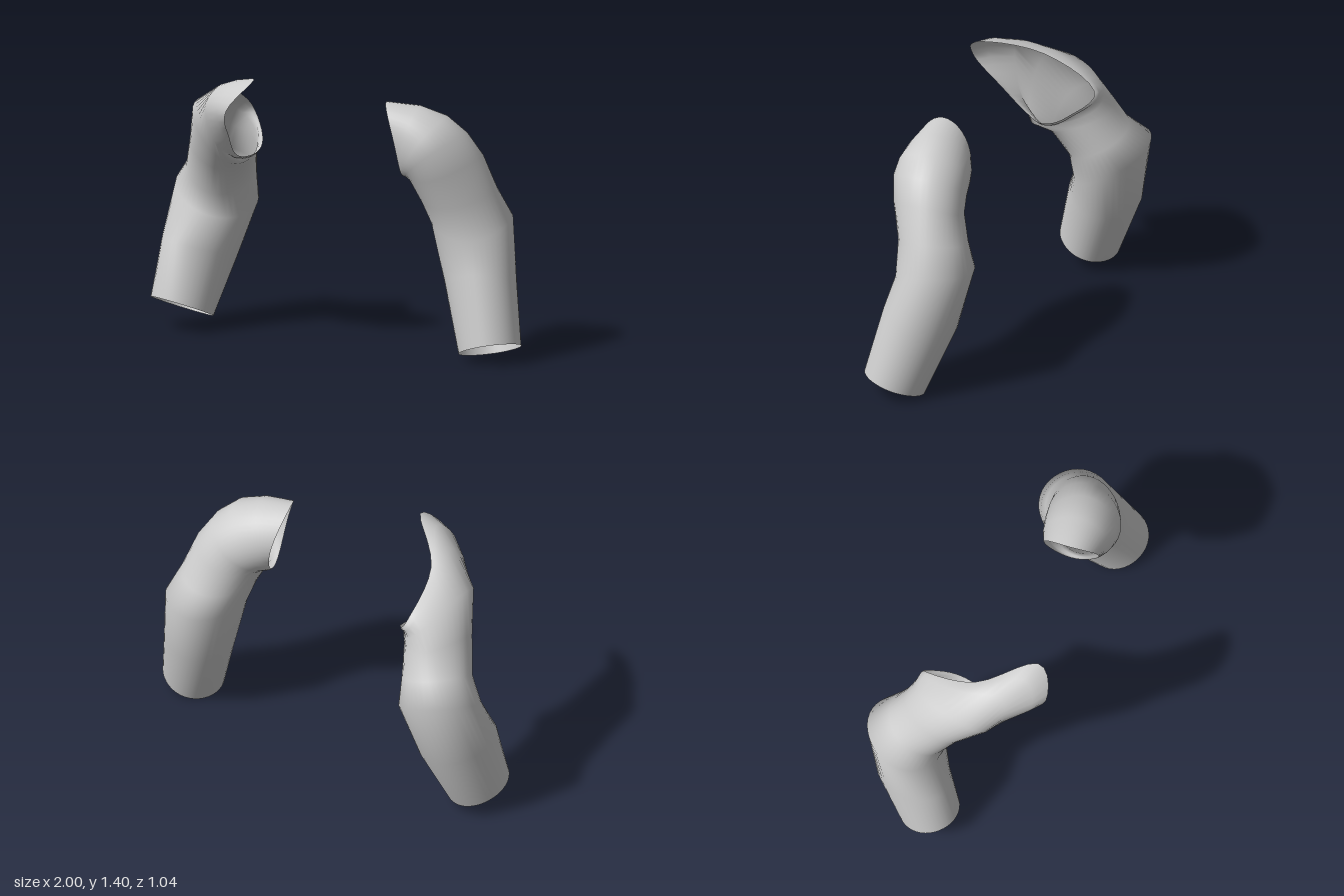
import * as THREE from 'three';

const SEG = 40;

// Closed smooth ring through 4 or 8 control points, starting at the outer side and going to the front
function ringPoints(points) {
  const curve = new THREE.CatmullRomCurve3(
    points.map((p) => new THREE.Vector3(...p)), true, 'catmullrom', points.length === 4 ? 0.8 : 0.55);
  return Array.from({ length: SEG }, (_, j) => curve.getPoint(j / SEG));
}

// Open tube skinned over a list of rings, from cuff to shoulder
function loft(rings, flip) {
  const position = [];
  const index = [];
  rings.forEach((r) => ringPoints(r).forEach((p) => position.push(p.x, p.y, p.z)));
  for (let i = 0; i < rings.length - 1; i++) {
    for (let j = 0; j < SEG; j++) {
      const k = (j + 1) % SEG;
      const a = i * SEG + j, b = i * SEG + k, c = a + SEG, d = b + SEG;
      if (flip) index.push(a, b, c, b, d, c);
      else index.push(a, c, b, b, c, d);
    }
  }
  const g = new THREE.BufferGeometry();
  g.setAttribute('position', new THREE.Float32BufferAttribute(position, 3));
  g.setIndex(index);
  g.computeVertexNormals();
  return g;
}

// Each ring: outer, front, inner, back
const leftRings = [
  [[1.0, 0.09, 0.365], [0.84, 0.11, 0.52], [0.68, 0.03, 0.365], [0.84, 0.01, 0.21]],
  [[0.96, 0.4, 0.27], [0.77, 0.46, 0.435], [0.59, 0.37, 0.25], [0.77, 0.37, 0.06]],
  [[0.925, 0.71, 0.19], [0.72, 0.62, 0.39], [0.51, 0.7, 0.2], [0.73, 0.69, -0.02]],
  [[0.85, 0.86, 0.23], [0.64, 0.79, 0.4], [0.47, 0.81, 0.24], [0.68, 0.82, 0.03]],
  [[0.78, 1.04, 0.25], [0.58, 0.95, 0.445], [0.41, 0.92, 0.26], [0.62, 0.95, 0.07]],
  [[0.7, 1.16, 0.27], [0.52, 1.06, 0.465], [0.39, 0.925, 0.26], [0.56, 1.04, 0.075]],
  [[0.6, 1.245, 0.28], [0.46, 1.1, 0.455], [0.38, 0.925, 0.25], [0.48, 1.1, 0.08]],
  [[0.46, 1.295, 0.28], [0.4, 1.12, 0.43], [0.375, 0.925, 0.25], [0.41, 1.12, 0.09]],
  [[0.29, 1.31, 0.28], [0.35, 1.12, 0.4], [0.37, 0.93, 0.25], [0.35, 1.12, 0.11]],
];

// The last three rings use eight points to shape the pulled-forward shoulder opening
const rightRings = [
  [[-1.0, 0.16, -0.155], [-0.84, 0.165, 0], [-0.68, 0.075, -0.155], [-0.84, 0.07, -0.31]],
  [[-0.95, 0.47, -0.24], [-0.8, 0.45, -0.06], [-0.57, 0.38, -0.26], [-0.77, 0.42, -0.45]],
  [[-0.9, 0.75, -0.33], [-0.7, 0.6, -0.125], [-0.475, 0.64, -0.3], [-0.67, 0.79, -0.52]],
  [[-0.83, 0.86, -0.26], [-0.68, 0.72, -0.1], [-0.48, 0.78, -0.26], [-0.63, 0.89, -0.42]],
  [[-0.79, 1.02, -0.14], [-0.65, 0.87, -0.02], [-0.46, 0.92, -0.14], [-0.6, 1.02, -0.355]],
  [[-0.75, 1.21, 0], [-0.62, 0.96, 0.1], [-0.45, 0.945, -0.06], [-0.56, 1.1, -0.315]],
  [[-0.6, 1.33, 0.14], [-0.66, 1.23, 0.19], [-0.62, 1.05, 0.16], [-0.55, 0.955, 0.07],
    [-0.45, 0.945, -0.04], [-0.45, 1.02, -0.18], [-0.525, 1.13, -0.3], [-0.6, 1.27, -0.08]],
  [[-0.49, 1.38, 0.24], [-0.58, 1.25, 0.31], [-0.56, 1.06, 0.2], [-0.53, 0.95, 0.08],
    [-0.44, 0.945, -0.04], [-0.435, 1.01, -0.17], [-0.51, 1.14, -0.295], [-0.56, 1.29, -0.03]],
  [[-0.39, 1.4, 0.29], [-0.52, 1.25, 0.37], [-0.53, 1.08, 0.22], [-0.51, 0.96, 0.08],
    [-0.43, 0.96, -0.03], [-0.425, 1.02, -0.16], [-0.5, 1.15, -0.28], [-0.54, 1.3, 0]],
];

export function createModel() {
  const group = new THREE.Group();
  group.name = 'sleeves';
  const cloth = new THREE.MeshStandardMaterial({ color: 0xcccccc, side: THREE.DoubleSide });
  cloth.name = 'light grey cloth';

  const left = new THREE.Mesh(loft(leftRings, false), cloth);
  left.name = 'leftSleeve';
  const right = new THREE.Mesh(loft(rightRings, true), cloth);
  right.name = 'rightSleeve';
  group.add(left, right);
  return group;
}
